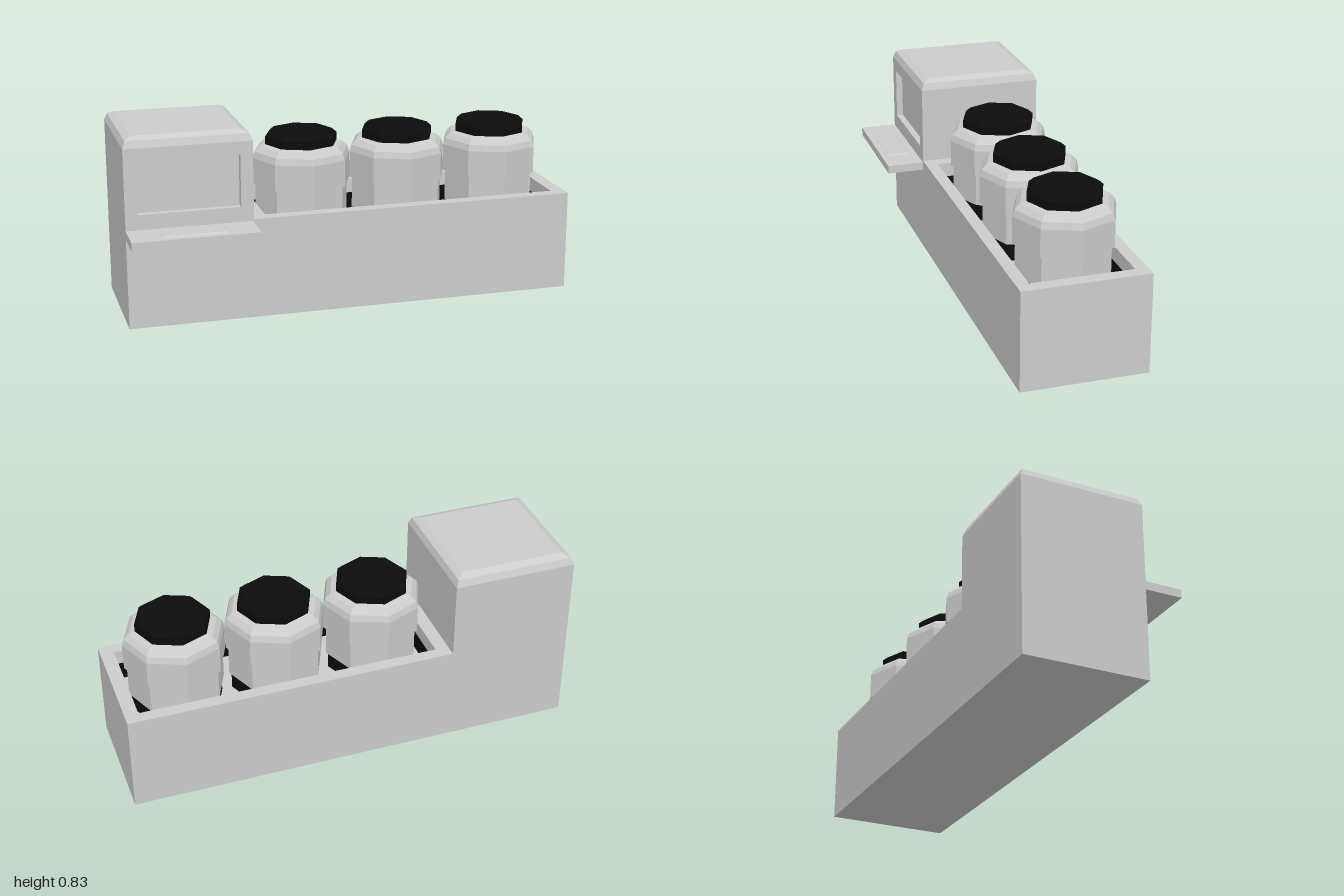
import * as THREE from 'three';

const grey = new THREE.MeshStandardMaterial({ color: 0xcccccc, flatShading: true });
const black = new THREE.MeshStandardMaterial({ color: 0x0c0c0c, flatShading: true });

const BACK = -0.36, FRONT = 0.195;

function add(parent, name, geometry, material = grey) {
  const mesh = new THREE.Mesh(geometry, material);
  mesh.name = name;
  parent.add(mesh);
  return mesh;
}

// Box given by its limits on each axis
function box(x0, x1, y0, y1, z0, z1) {
  return new THREE.BoxGeometry(x1 - x0, y1 - y0, z1 - z0)
    .translate((x0 + x1) / 2, (y0 + y1) / 2, (z0 + z1) / 2);
}

function rectPoints(x0, x1, y0, y1) {
  return [[x0, y0], [x1, y0], [x1, y1], [x0, y1]].map(p => new THREE.Vector2(...p));
}

// Rectangular frame in the xy plane, extruded along +z
function frame(outer, inner, depth) {
  const shape = new THREE.Shape(rectPoints(...outer));
  shape.holes.push(new THREE.Path(rectPoints(...inner)));
  return new THREE.ExtrudeGeometry(shape, { depth, bevelEnabled: false });
}

// The same frame lying flat, rising from y0 to y1; limits are x0, x1, z0, z1
function flatFrame(outer, inner, y0, y1) {
  const flip = ([a, b, c, d]) => [a, b, -d, -c];
  return frame(flip(outer), flip(inner), y1 - y0).rotateX(-Math.PI / 2).translate(0, y0, 0);
}

// Stack of rectangles shrinking upwards; each level is [y, x inset, z inset]
function taperedBlock(x0, x1, z0, z1, levels) {
  const pos = [], index = [];
  for (const [y, ix, iz] of levels) {
    pos.push(x0 + ix, y, z1 - iz, x1 - ix, y, z1 - iz, x1 - ix, y, z0 + iz, x0 + ix, y, z0 + iz);
  }
  for (let l = 0; l < levels.length - 1; l++) {
    for (let i = 0; i < 4; i++) {
      const a = l * 4 + i, b = l * 4 + (i + 1) % 4;
      index.push(a, b, b + 4, a, b + 4, a + 4);
    }
  }
  const t = (levels.length - 1) * 4;
  index.push(t, t + 1, t + 2, t, t + 2, t + 3);
  const g = new THREE.BufferGeometry();
  g.setAttribute('position', new THREE.Float32BufferAttribute(pos, 3));
  g.setIndex(index);
  const flat = g.toNonIndexed();
  flat.computeVertexNormals();
  return flat;
}

// Eight-sided turned part from [radius, y] pairs
function turned(profile) {
  return new THREE.LatheGeometry(profile.map(p => new THREE.Vector2(...p)), 8);
}

function createJar() {
  const jar = new THREE.Group();
  jar.name = 'jar';
  add(jar, 'jarFoot', turned([[0, 0.3], [0.2, 0.3], [0.2, 0.38], [0, 0.38]]), black);
  add(jar, 'jarBody', turned([
    [0, 0.378], [0.21, 0.378], [0.21, 0.52], [0.222, 0.52], [0.222, 0.64],
    [0.213, 0.668], [0.19, 0.69], [0.163, 0.698], [0, 0.698],
  ]));
  add(jar, 'jarLid', turned([[0.163, 0.695], [0.163, 0.733], [0.141, 0.752], [0, 0.752]]), black);
  return jar;
}

export function createModel() {
  const model = new THREE.Group();
  model.name = 'jarStand';

  // Long base with a sunken tray
  const opening = [-0.39, 0.94, -0.305, 0.14];
  add(model, 'base', box(-1, 1, 0, 0.3, BACK, FRONT));
  add(model, 'trayRim', flatFrame([-1, 1, BACK, FRONT], opening, 0.3, 0.445));
  const inset = opening.map((v, i) => v + (i % 2 ? -0.003 : 0.003));
  add(model, 'trayLiner', flatFrame(opening, inset, 0.3, 0.38), black);

  // Cabinet with a framed, recessed panel and a bevelled roof
  const cabinet = new THREE.Group();
  cabinet.name = 'cabinet';
  model.add(cabinet);
  const left = -1, right = -0.45;
  add(cabinet, 'cabinetBody', box(left, right, 0.445, 0.79, BACK, FRONT - 0.03));
  add(cabinet, 'panelFrame',
    frame([left, right, 0.445, 0.79], [-0.947, -0.505, 0.503, 0.733], 0.03)
      .translate(0, 0, FRONT - 0.03));
  add(cabinet, 'cabinetRoof', taperedBlock(left, right, BACK, FRONT,
    [[0.79, 0, 0], [0.821, 0.012, 0.012], [0.835, 0.042, 0.045]]));

  // Shelf in front of the cabinet, with a low raised plate
  add(model, 'shelf', box(left, right - 0.005, 0.4, 0.437, FRONT, 0.362));
  add(model, 'shelfPlate', taperedBlock(-0.87, -0.58, 0.225, 0.335,
    [[0.437, 0, 0], [0.442, 0.012, 0.012]]));

  // Three jars standing in the tray
  for (const x of [-0.17, 0.275, 0.72]) {
    const jar = createJar();
    jar.position.set(x, 0, -0.083);
    model.add(jar);
  }
  return model;
}
